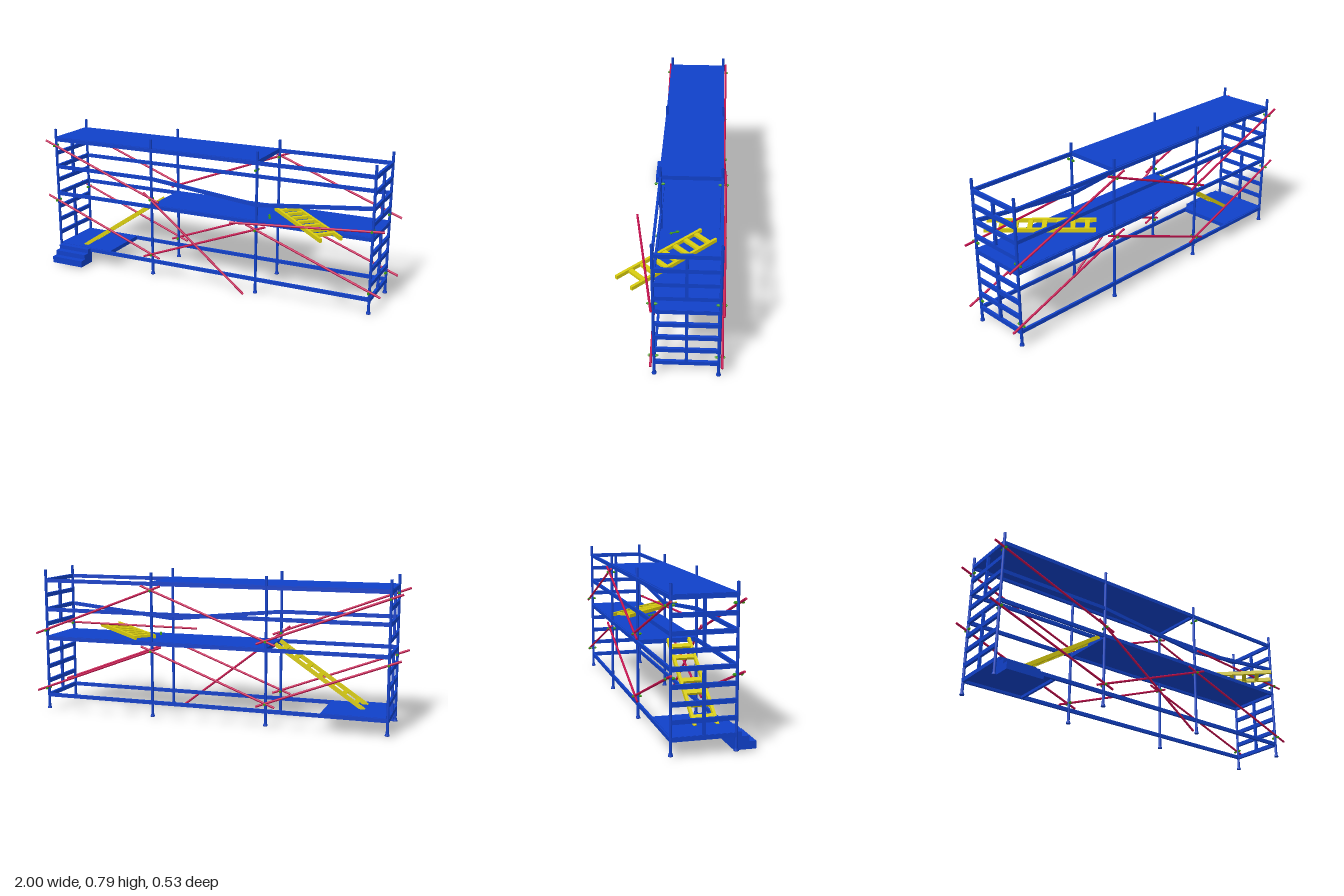
import * as THREE from 'three';

const mat = (color) => new THREE.MeshStandardMaterial({ color });
const V = (x, y, z) => new THREE.Vector3(x, y, z);

export function createModel() {
  const root = new THREE.Group();
  const blue = mat(0x1040c8), red = mat(0xc4104e), yellow = mat(0xd8cc10), green = mat(0x3a9a10);
  const FRONT = 0.07, BACK = -0.24, MID = (FRONT + BACK) / 2;
  const postX = [-0.94, -0.315, 0.315, 0.94];

  const add = (name, geo, material, pos, parent = root) => {
    const m = new THREE.Mesh(geo, material);
    m.name = name;
    m.position.copy(pos);
    parent.add(m);
    return m;
  };
  const box = (name, w, h, d, material, x, y, z, parent) =>
    add(name, new THREE.BoxGeometry(w, h, d), material, V(x, y, z), parent);
  // Round tube between two points
  const rod = (name, a, b, r, material, parent) => {
    const m = add(name, new THREE.CylinderGeometry(r, r, a.distanceTo(b), 12), material, a.clone().lerp(b, 0.5), parent);
    m.quaternion.setFromUnitVectors(V(0, 1, 0), b.clone().sub(a).normalize());
    return m;
  };
  // Square rail between two points in the same z plane
  const rail = (name, x0, y0, x1, y1, z) => {
    const m = box(name, Math.hypot(x1 - x0, y1 - y0), 0.02, 0.012, blue, (x0 + x1) / 2, (y0 + y1) / 2, z);
    m.rotation.z = Math.atan2(y1 - y0, x1 - x0);
  };

  // Posts with flared feet
  const postProfile = [[0, 0.013], [0.012, 0.013], [0.012, 0.017], [0.0075, 0.03], [0.0075, 0.79], [0, 0.79]]
    .map(([r, y]) => new THREE.Vector2(r, y));
  for (const x of postX) for (const z of [FRONT, BACK])
    add('post', new THREE.LatheGeometry(postProfile, 12), blue, V(x, 0, z));

  // Ladder-like end frames
  for (const x of [postX[0], postX[3]]) {
    for (let i = 0; i < 9; i++)
      box('endRung', 0.014, 0.022, FRONT - BACK, blue, x, 0.09 + i * 0.08, MID);
    for (const [y0, y1] of [[0.09, 0.41], [0.49, 0.73]])
      box('endUpright', 0.013, y1 - y0, 0.015, blue, x, (y0 + y1) / 2, MID);
  }

  // Long rails; the front middle rail sags over its last two bays
  for (const z of [FRONT, BACK]) {
    for (const y of [0.09, 0.41, 0.73]) rail('longRail', -0.94, y, 0.94, y, z);
  }
  rail('backMiddleRail', -0.94, 0.57, 0.94, 0.57, BACK);
  rail('frontMiddleRail', -0.94, 0.57, -0.315, 0.57, FRONT);
  rail('saggingRail', -0.315, 0.57, 0.32, 0.505, FRONT);
  rail('saggingRail', 0.31, 0.505, 0.94, 0.57, FRONT);

  // Decks: thin board with a rim below each end
  const deck = (name, x0, x1, y) => {
    const g = new THREE.Group();
    g.name = name;
    root.add(g);
    box('board', x1 - x0, 0.008, 0.305, blue, (x0 + x1) / 2, y - 0.004, MID, g);
    for (const x of [x0 + 0.006, x1 - 0.006]) box('deckRim', 0.012, 0.022, 0.305, blue, x, y - 0.012, MID, g);
  };
  deck('topDeck', -0.945, 0.315, 0.743);
  deck('middleDeck', -0.315, 0.945, 0.422);
  deck('entryDeck', -0.945, -0.6, 0.102);

  // Entry steps
  const profile = [[-0.062, 0.013], [-0.17, 0.013], [-0.17, 0.05], [-0.136, 0.05], [-0.136, 0.077],
    [-0.1, 0.077], [-0.1, 0.1], [-0.062, 0.1]].map(([x, y]) => new THREE.Vector2(x, y));
  const steps = add('entrySteps', new THREE.ExtrudeGeometry(new THREE.Shape(profile), { depth: 0.2, bevelEnabled: false }),
    blue, V(-0.933, 0, 0));
  steps.rotation.y = Math.PI / 2;

  // Diagonal braces; two are missing from the front
  const inset = 0.013;
  const braces = [
    [-1, 0.72, -0.265, 0.442], [-1, 0.395, -0.265, 0.115],
    [-0.365, 0.115, 0.37, 0.395], [0.26, 0.395, 1, 0.115],
    [-0.365, 0.437, 0.37, 0.72], [0.26, 0.72, 1, 0.437],
  ];
  braces.forEach(([x0, y0, x1, y1], i) => {
    rod('backBrace', V(x0, y0, BACK - inset - 0.003), V(x1, y1, BACK - inset - 0.003), 0.006, red);
    if (i < 4) rod('frontBrace', V(x0, y0, FRONT + inset), V(x1, y1, FRONT + inset), 0.006, red);
  });
  // Braces hanging loose by one end
  rod('looseBrace', V(-0.36, 0.49, 0.083), V(0.26, 0.007, 0.104), 0.006, red);
  rod('looseBrace', V(0.22, 0.434, 0.2), V(1, 0.458, 0.075), 0.006, red);

  // Brace clamps on the posts
  const clamp = (p, dir) => {
    const q = p.clone().addScaledVector(dir, 0.052);
    rod('clampBolt', p, q, 0.003, green);
    rod('clampNut', p.clone().lerp(q, 0.08), p.clone().lerp(q, 0.3), 0.0065, green);
    rod('clampNut', p.clone().lerp(q, 0.75), p.clone().lerp(q, 0.92), 0.0065, green);
  };
  postX.forEach((x, i) => {
    for (const y of i % 2 ? [0.455, 0.13] : [0.695, 0.37]) {
      clamp(V(x, y, 0.048), V(0, 0, 1));
      clamp(V(x, y, -0.219), V(0, 0, -1));
    }
  });
  // Clamp dropped on the middle deck
  clamp(V(0.35, 0.429, -0.025), V(0.4, 0, 0.9).normalize());

  // Ladder built along +x, width along z
  const ladder = (name, length, first, pitch) => {
    const g = new THREE.Group();
    g.name = name;
    for (const s of [-1, 1]) box('ladderRail', length, 0.02, 0.014, yellow, 0, 0, s * 0.055, g);
    for (let i = 0; i < 7; i++) box('ladderTread', 0.024, 0.014, 0.1, yellow, -length / 2 + first + i * pitch, 0, 0, g);
    root.add(g);
    return g;
  };
  const climb = ladder('climbingLadder', 0.575, 0.055, 0.078);
  climb.position.set(-0.56, 0.258, -0.028);
  climb.rotation.z = Math.atan2(0.32, 0.475);
  const fallen = ladder('fallenLadder', 0.56, 0.045, 0.072);
  fallen.position.set(0.577, 0.433, 0.022);
  fallen.rotation.y = -Math.PI / 4;

  return root;
}
